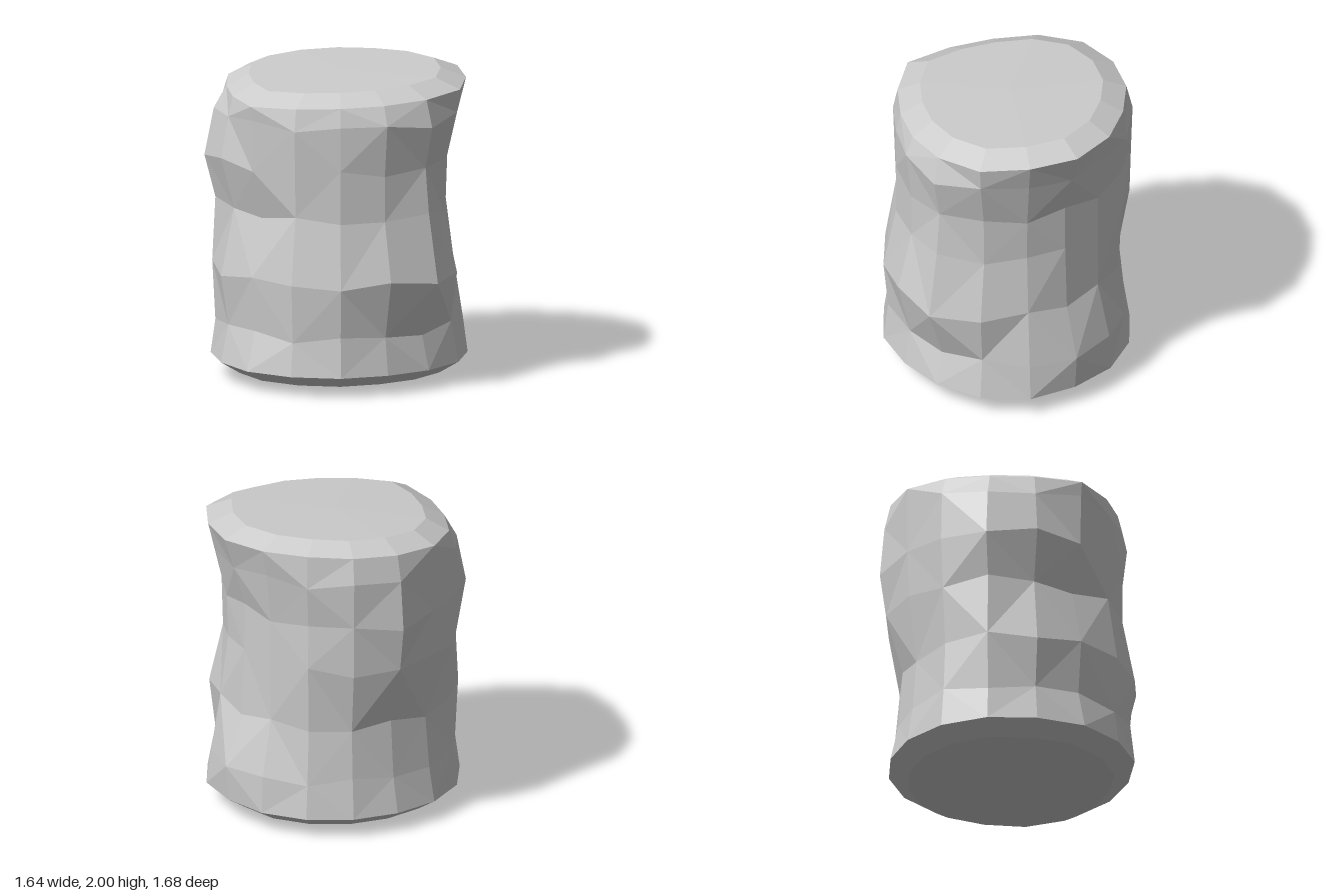
import * as THREE from 'three';

// Girths of the stone from foot to rim: height, then radii at even angles from +x towards +z
const GIRTHS = [
  { y: 0.13, r: [0.79, 0.82, 0.82, 0.8, 0.79, 0.82, 0.83, 0.84, 0.82, 0.82, 0.81, 0.79, 0.77, 0.77, 0.78, 0.79] },
  { y: 0.37, r: [0.81, 0.79, 0.77, 0.74, 0.75, 0.79, 0.8, 0.77, 0.77, 0.79, 0.78, 0.75, 0.72, 0.73, 0.75, 0.78] },
  { y: 0.72, r: [0.69, 0.73, 0.81, 0.88, 0.84, 0.82, 0.82, 0.8, 0.82, 0.81, 0.76, 0.72, 0.69, 0.7, 0.71, 0.69] },
  { y: 1.13, r: [0.67, 0.68, 0.72, 0.8, 0.74, 0.74, 0.75, 0.7, 0.73, 0.79, 0.79, 0.78, 0.8, 0.77, 0.73, 0.69] },
  { y: 1.44, r: [0.67, 0.69, 0.73, 0.77, 0.74, 0.74, 0.76, 0.79, 0.82, 0.86, 0.81, 0.79, 0.84, 0.78, 0.72, 0.69] },
  { y: 1.74, r: [0.75, 0.76, 0.81, 0.83, 0.78, 0.74, 0.77, 0.8, 0.77, 0.8, 0.8, 0.79, 0.81, 0.79, 0.76, 0.74] },
  { y: 1.895, r: [0.82, 0.81, 0.83, 0.78, 0.73, 0.71, 0.74, 0.81, 0.74, 0.72, 0.76, 0.79, 0.77, 0.75, 0.74, 0.78] },
];
const SIDES = 16;

function stoneGeometry() {
  // The foot and the top slope inwards from the first and last girth
  const foot = GIRTHS[0], rim = GIRTHS[GIRTHS.length - 1];
  const rings = [
    { y: 0.05, r: foot.r.map((v) => v * 0.84) },
    ...GIRTHS,
    { y: 1.965, r: rim.r.map((v) => v * 0.8) },
  ];
  const points = [];
  rings.forEach(({ y, r }, i) => {
    const wave = i > 1 && y < rim.y ? 0.025 : 0;
    const tilt = y < rim.y ? 0 : 0.045;
    r.forEach((radius, j) => {
      const a = (j / SIDES) * Math.PI * 2;
      const x = radius * Math.cos(a), z = radius * Math.sin(a);
      points.push(x, y + wave * Math.sin(j * 2.3 + i * 1.7) + tilt * (x - z * 0.5), z);
    });
  });
  const bottom = points.length / 3, top = bottom + 1;
  points.push(0, 0, 0, 0, 1.975, 0);

  const faces = [];
  const last = (rings.length - 1) * SIDES;
  for (let j = 0; j < SIDES; j++) {
    const k = (j + 1) % SIDES;
    faces.push(bottom, j, k, last + j, top, last + k);
    for (let i = 0; i < rings.length - 1; i++) {
      const a = i * SIDES + j, b = i * SIDES + k, c = a + SIDES, d = b + SIDES;
      // Alternating diagonals give the chiselled facets
      if ((i + j) % 2) faces.push(a, c, b, b, c, d);
      else faces.push(a, c, d, a, d, b);
    }
  }
  const indexed = new THREE.BufferGeometry();
  indexed.setAttribute('position', new THREE.Float32BufferAttribute(points, 3));
  indexed.setIndex(faces);
  const geometry = indexed.toNonIndexed();
  geometry.computeVertexNormals();
  return geometry;
}

export function createModel() {
  const group = new THREE.Group();
  group.name = 'stonePillar';
  const material = new THREE.MeshStandardMaterial({ color: 0xcccccc, flatShading: true });
  const stone = new THREE.Mesh(stoneGeometry(), material);
  stone.name = 'stoneBlock';
  group.add(stone);
  return group;
}
